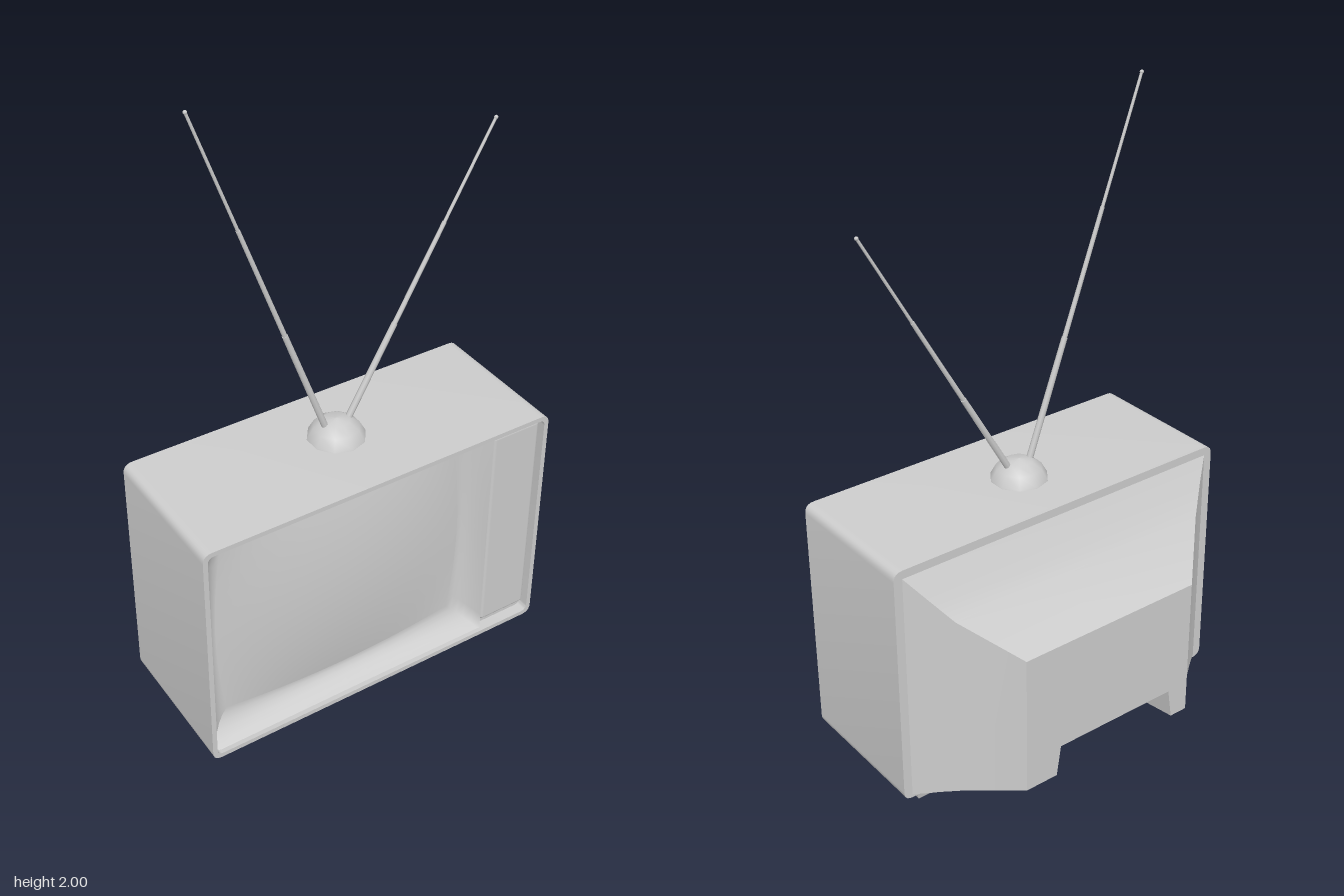
import * as THREE from 'three';
import { toCreasedNormals } from 'three/addons/utils/BufferGeometryUtils.js';
import { RoundedBoxGeometry } from 'three/addons/geometries/RoundedBoxGeometry.js';
import { ParametricGeometry } from 'three/addons/geometries/ParametricGeometry.js';

const grey = new THREE.MeshStandardMaterial({ color: 0xcccccc });
const thin = new THREE.MeshStandardMaterial({ color: 0xcccccc, side: THREE.DoubleSide });
const lerp = THREE.MathUtils.lerp;

function roundedRect(path, x0, y0, x1, y1, r) {
  path.moveTo(x0 + r, y0);
  path.lineTo(x1 - r, y0).quadraticCurveTo(x1, y0, x1, y0 + r);
  path.lineTo(x1, y1 - r).quadraticCurveTo(x1, y1, x1 - r, y1);
  path.lineTo(x0 + r, y1).quadraticCurveTo(x0, y1, x0, y1 - r);
  path.lineTo(x0, y0 + r).quadraticCurveTo(x0, y0, x0 + r, y0);
  return path;
}

// Screen surface: s and t run from -1 to 1, edges bow outwards, middle bulges
function screenPoint(s, t, target) {
  return target.set(
    -0.0975 + 0.3975 * s * (1 + 0.063 * (1 - t * t)),
    0.465 + 0.3 * t * (1 + 0.1 * (1 - s * s)),
    0.27 + 0.03 * (1 - s * s) * (1 - t * t));
}

// Walk round a square from -1 to 1, counter-clockwise
function squarePoint(u) {
  const side = Math.min(3, Math.floor(u * 4 + 1e-9));
  const k = (u * 4 - side) * 2 - 1;
  return [[k, -1], [1, k], [-k, 1], [-1, -k]][side];
}

// Skin between outlines of equal length, going backwards, capped at the last
function loftBack(sections) {
  const pos = [];
  const put = (k, i) => {
    const { z, ring } = sections[k];
    const p = ring[i % ring.length];
    pos.push(p.x, p.y, z);
  };
  const n = sections[0].ring.length;
  const last = sections.length - 1;
  for (let k = 0; k < last; k++) {
    for (let i = 0; i < n; i++) {
      put(k, i); put(k + 1, i); put(k + 1, i + 1);
      put(k, i); put(k + 1, i + 1); put(k, i + 1);
    }
  }
  for (const [a, b, c] of THREE.ShapeUtils.triangulateShape(sections[last].ring, [])) {
    put(last, a); put(last, c); put(last, b);
  }
  const geo = new THREE.BufferGeometry();
  geo.setAttribute('position', new THREE.Float32BufferAttribute(pos, 3));
  return toCreasedNormals(geo, 0.6);
}

export function createModel() {
  const model = new THREE.Group();
  model.name = 'television';
  const add = (name, geo, mat = grey, parent = model) => {
    const mesh = new THREE.Mesh(geo, mat);
    mesh.name = name;
    parent.add(mesh);
    return mesh;
  };

  // Cabinet shell, open at the front
  const outline = roundedRect(new THREE.Shape(), -0.585, 0.06, 0.585, 0.852, 0.03);
  const backShape = outline.clone();
  outline.holes.push(roundedRect(new THREE.Path(), -0.57, 0.075, 0.57, 0.837, 0.02));
  const extrude = (shape, depth) => toCreasedNormals(
    new THREE.ExtrudeGeometry(shape, { depth, bevelEnabled: false, curveSegments: 5 }), 0.6);
  add('cabinet', extrude(outline, 0.46)).position.z = -0.115;
  add('backPanel', extrude(backShape, 0.01)).position.z = -0.116;

  // Dished bezel running from the cabinet rim down to the screen
  const inner = new THREE.Vector3();
  add('bezel', new ParametricGeometry((u, v, p) => {
    const [s, t] = squarePoint(u);
    screenPoint(s, t, inner);
    p.set(lerp(-0.0925 + 0.4825 * s, inner.x, v),
      lerp(0.456 + 0.384 * t, inner.y, v),
      0.27 + 0.065 * (1 - v) ** 2);
  }, 48, 5), thin);
  add('screen', new ParametricGeometry((u, v, p) => screenPoint(u * 2 - 1, v * 2 - 1, p), 12, 12), thin);

  // Control panel beside the screen
  add('panelBacking', new THREE.BoxGeometry(0.19, 0.768, 0.08)).position.set(0.481, 0.456, 0.27);
  add('controlPanel', new RoundedBoxGeometry(0.17, 0.725, 0.08, 3, 0.012)).position.set(0.475, 0.4725, 0.296);

  // Tapering rear housing with a notch under its middle: z, half width, bottom, top, notch height
  const housing = [
    [-0.11, 0.565, 0.07, 0.835, 0.07],
    [-0.15, 0.513, 0.076, 0.768, 0.076],
    [-0.165, 0.495, 0.08, 0.745, 0.19],
    [-0.205, 0.448, 0.087, 0.685, 0.2],
    [-0.345, 0.31, 0.11, 0.57, 0.21],
  ].map(([z, w, y0, y1, notch]) => ({
    z,
    ring: [[-w, y0], [-0.25, y0], [-0.235, notch], [0.185, notch], [0.2, y0], [w, y0], [w, y1], [-w, y1]]
      .map(([x, y]) => new THREE.Vector2(x, y)),
  }));
  add('rearHousing', loftBack(housing));

  // Plinth, narrower at the floor
  const plinth = new THREE.BoxGeometry(1.06, 0.065, 0.4);
  const pp = plinth.attributes.position;
  for (let i = 0; i < pp.count; i++) {
    if (pp.getY(i) < 0) pp.setXYZ(i, pp.getX(i) * 0.962, pp.getY(i), pp.getZ(i) * 0.92);
  }
  plinth.computeVertexNormals();
  add('plinth', plinth).position.set(0, 0.0325, 0.11);

  // Aerial: dome with two telescopic rods
  const aerial = new THREE.Group();
  aerial.name = 'aerial';
  aerial.position.set(0, 0.85, 0.092);
  model.add(aerial);
  const dome = [[0.09, -0.005], [0.088, 0.005], [0.07, 0.038], [0.04, 0.059], [0, 0.066]]
    .map(([x, y]) => new THREE.Vector2(x, y));
  add('aerialDome', new THREE.LatheGeometry(dome, 10), grey, aerial);

  const addRod = (name, x0, x1, y1) => {
    const base = new THREE.Vector3(x0, 0.04, 0);
    const dir = new THREE.Vector3(x1, y1, 0).sub(base);
    const length = dir.length();
    const rod = new THREE.Group();
    rod.name = name;
    rod.position.copy(base);
    rod.quaternion.setFromUnitVectors(new THREE.Vector3(0, 1, 0), dir.normalize());
    aerial.add(rod);
    [0.0105, 0.0075, 0.005].forEach((r, i) => {
      add('rodSection', new THREE.CylinderGeometry(r * 0.85, r, length / 3, 8), grey, rod)
        .position.y = length * (i + 0.5) / 3;
    });
    add('rodTip', new THREE.SphereGeometry(0.006, 8, 6), grey, rod).position.y = length - 0.004;
  };
  addRod('rightRod', -0.035, -0.438, 1.148);
  addRod('leftRod', 0.035, 0.515, 0.885);

  return model;
}
